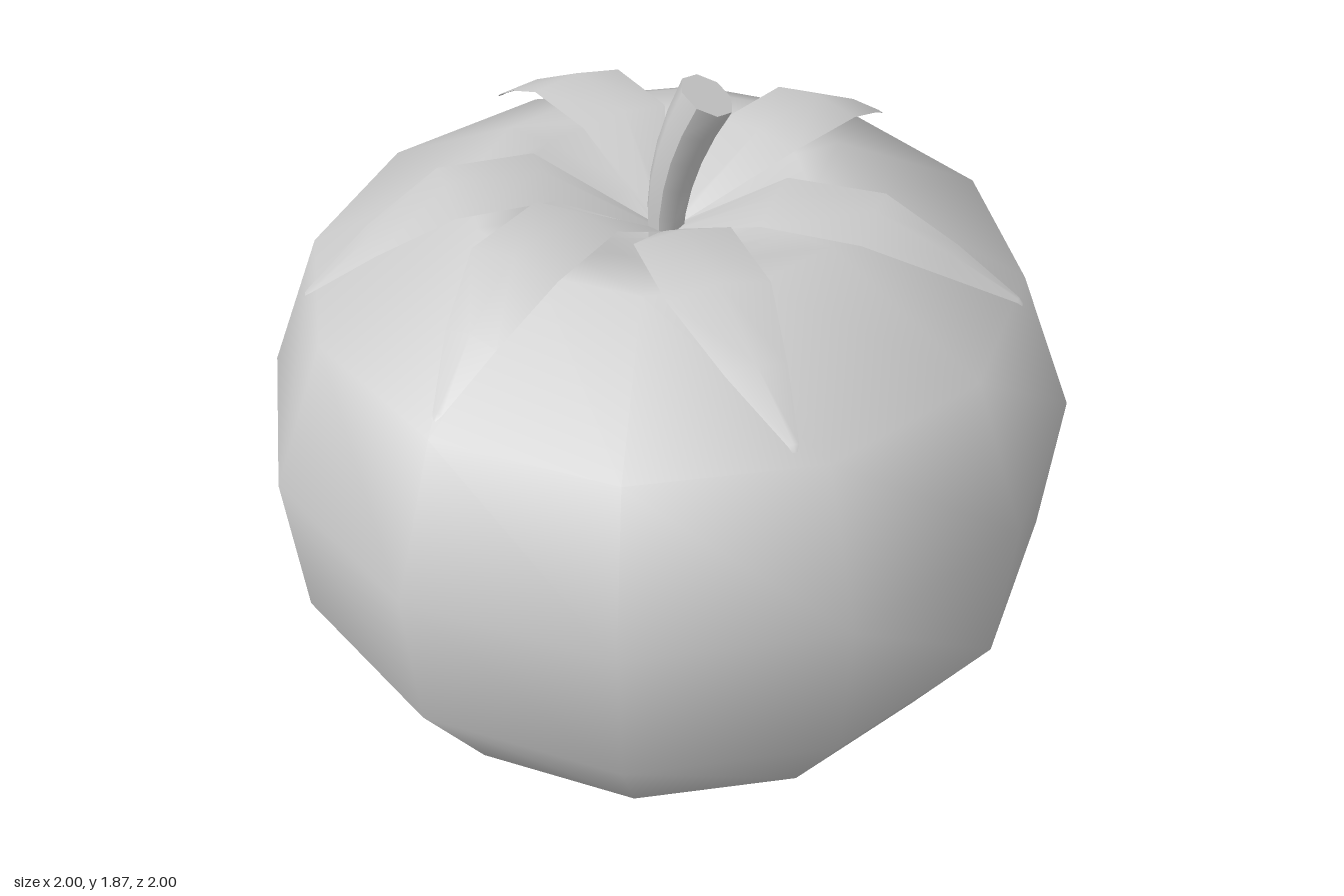
import * as THREE from 'three';

const grey = new THREE.MeshStandardMaterial({ color: 0xcccccc });
const greyThin = new THREE.MeshStandardMaterial({ color: 0xcccccc, side: THREE.DoubleSide });

// Twelve-sided fruit, with a dimple at the top
function makeFruit() {
  const mid = 0.98;
  const profile = [
    [0, 0], [0.15, 0.01], [0.405, 0.065], [0.8, 0.265], [1.0, 0.575],
    [1.035, 0.98], [0.89, 1.36], [0.48, 1.575], [0.36, 1.57], [0.18, 1.47], [0, 1.42],
  ].map(([r, y]) => new THREE.Vector2(r, y - mid));
  const fruit = new THREE.Mesh(new THREE.LatheGeometry(profile, 12, Math.PI / 12), grey);
  fruit.name = 'fruit';
  fruit.position.y = mid;
  fruit.rotation.x = 0.017;
  return fruit;
}

// Stem: a widening cylinder bent along a parabola, its rings square to the path
function makeStem() {
  const height = 0.42, lean = 0.11;
  const geometry = new THREE.CylinderGeometry(0.07, 0.045, height, 8, 5);
  const p = geometry.attributes.position;
  for (let i = 0; i < p.count; i++) {
    const t = p.getY(i) / height + 0.5;
    const tilt = Math.atan2(2 * lean * t, height);
    const x = p.getX(i);
    p.setXYZ(i, lean * t * t + x * Math.cos(tilt), 1.42 + height * t - x * Math.sin(tilt), p.getZ(i) + 0.015 * t);
  }
  // Recompute the side normals while the cap keeps its own vertices
  geometry.computeVertexNormals();
  const stem = new THREE.Mesh(geometry, grey);
  stem.name = 'stem';
  return stem;
}

// Leaf: cross-sections running out along +x, arched over the middle
function makeLeafGeometry() {
  // distance out, height of edges, near edge z, far edge z, arch
  const sections = [
    [0.02, 1.45, -0.018, 0.018, 0],
    [0.29, 1.605, -0.065, 0.172, 0.015],
    [0.53, 1.6, -0.075, 0.172, 0.022],
    [0.72, 1.51, -0.045, 0.1, 0.015],
    [0.88, 1.415, -0.014, 0.012, 0.003],
    [0.892, 1.405, -0.006, 0.006, 0],
  ];
  const positions = [], index = [];
  sections.forEach(([x, y, z0, z1, arch], row) => {
    positions.push(x, y, z0, x, y + arch, (z0 + z1) / 2, x, y, z1);
    if (row === 0) return;
    for (let k = 0; k < 2; k++) {
      const a = (row - 1) * 3 + k, c = row * 3 + k;
      index.push(a, a + 1, c, a + 1, c + 1, c);
    }
  });
  const geometry = new THREE.BufferGeometry();
  geometry.setAttribute('position', new THREE.Float32BufferAttribute(positions, 3));
  geometry.setIndex(index);
  geometry.computeVertexNormals();
  return geometry;
}

export function createModel() {
  const model = new THREE.Group();
  model.name = 'tomato';
  model.add(makeFruit(), makeStem());

  // Six leaves, each turned toward its tip
  const leaves = new THREE.Group();
  leaves.name = 'leaves';
  const leafGeometry = makeLeafGeometry();
  const tips = [[0.88, -0.04], [0.56, 0.69], [-0.21, 0.86], [-0.71, 0.52], [-0.7, -0.55], [0.31, -0.82]];
  tips.forEach(([x, z], i) => {
    const leaf = new THREE.Mesh(leafGeometry, greyThin);
    leaf.name = `leaf${i + 1}`;
    leaf.rotation.y = Math.atan2(-z, x);
    leaves.add(leaf);
  });
  model.add(leaves);
  return model;
}
